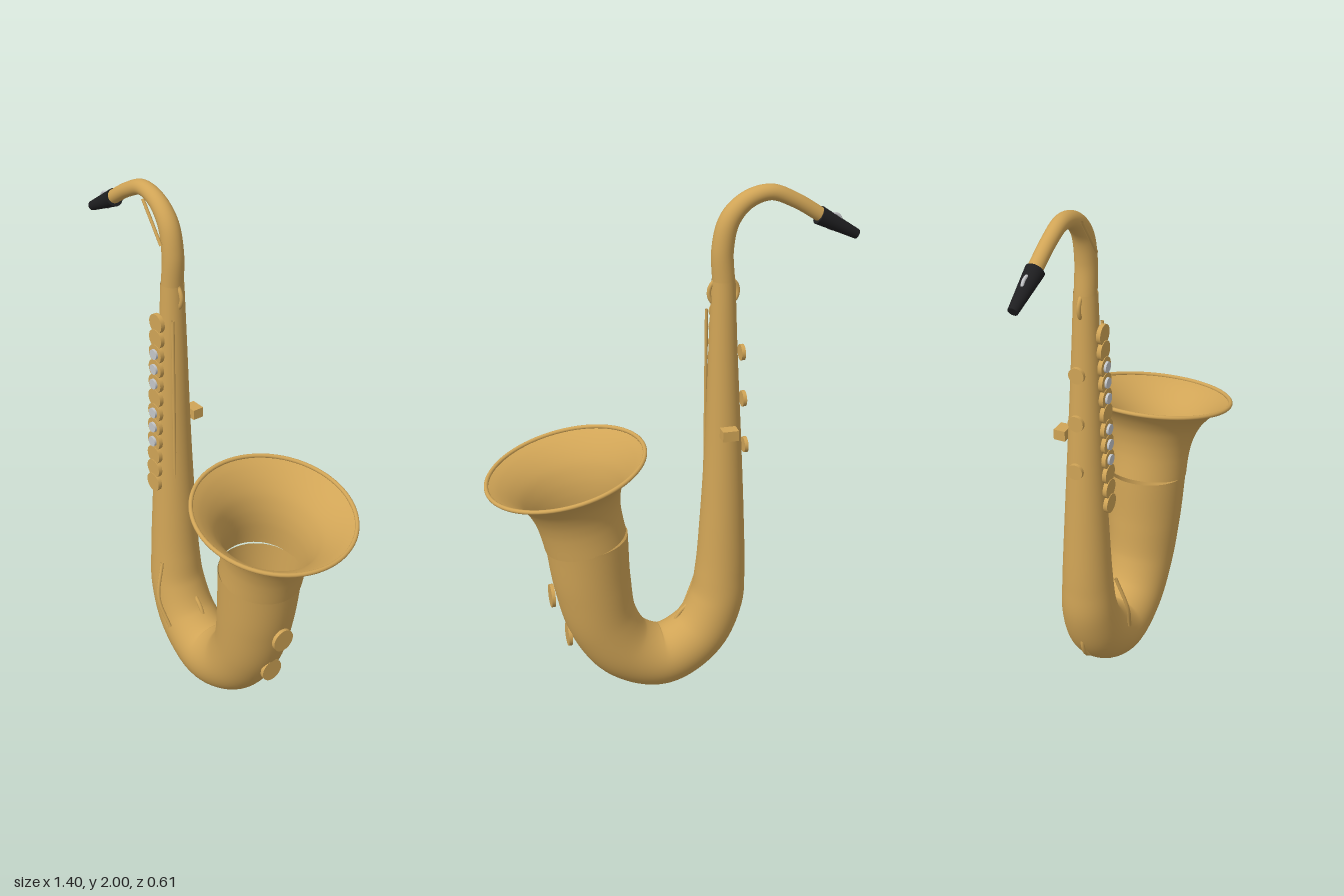
import * as THREE from 'three';

export function createModel() {
  const root = new THREE.Group();
  root.name = 'saxophone';

  const mat = (name, color, side = THREE.FrontSide) => {
    const m = new THREE.MeshStandardMaterial({ color, side });
    m.name = name;
    return m;
  };
  const brass = mat('brass', 0xd0a456, THREE.DoubleSide);
  const silver = mat('silver', 0xc4c6c8);
  const ebonite = mat('black ebonite', 0x1e1e20);

  const add = (name, geo, material, x = 0, y = 0, z = 0) => {
    const mesh = new THREE.Mesh(geo, material);
    mesh.name = name;
    mesh.position.set(x, y, z);
    root.add(mesh);
    return mesh;
  };

  // Tapered tube along a path in the xy plane; each point is [x, y, radius]
  const taperedTube = (points, steps, sides = 48) => {
    const curve = new THREE.CatmullRomCurve3(points.map(p => new THREE.Vector3(...p)));
    const pos = [], idx = [];
    for (let i = 0; i <= steps; i++) {
      const c = curve.getPointAt(i / steps);
      const t = curve.getTangentAt(i / steps).setZ(0).normalize();
      for (let j = 0; j < sides; j++) {
        const a = (j / sides) * Math.PI * 2, k = c.z * Math.cos(a);
        pos.push(c.x - t.y * k, c.y + t.x * k, c.z * Math.sin(a));
        if (i === steps) continue;
        const j2 = (j + 1) % sides, p = i * sides, q = p + sides;
        idx.push(p + j, p + j2, q + j, p + j2, q + j2, q + j);
      }
    }
    const g = new THREE.BufferGeometry();
    g.setAttribute('position', new THREE.Float32BufferAttribute(pos, 3));
    g.setIndex(idx);
    g.computeVertexNormals();
    return g;
  };

  // Thin rod through a few points
  const rod = (name, points, radius) => add(name, new THREE.TubeGeometry(
    new THREE.CatmullRomCurve3(points.map(p => new THREE.Vector3(...p))), 20, radius, 10), brass);

  // Conical body and bow
  add('body', taperedTube([
    [-0.192, 1.665, 0.043], [-0.194, 1.4, 0.053], [-0.2, 1.0, 0.07], [-0.2, 0.7, 0.085],
    [-0.195, 0.48, 0.097], [-0.18, 0.35, 0.106], [-0.105, 0.205, 0.115], [0.04, 0.127, 0.123],
    [0.185, 0.185, 0.128], [0.273, 0.32, 0.135], [0.312, 0.5, 0.147], [0.331, 0.695, 0.157],
  ], 120), brass);

  // Curved neck
  add('neck', taperedTube([
    [-0.193, 1.65, 0.041], [-0.187, 1.78, 0.04], [-0.212, 1.885, 0.038], [-0.275, 1.95, 0.033],
    [-0.36, 1.972, 0.029], [-0.45, 1.937, 0.027], [-0.56, 1.868, 0.026],
  ], 60, 32), brass);

  // Flared bell with rolled rim
  const bell = new THREE.Group();
  bell.name = 'bell';
  bell.position.set(0.335, 0.69, 0);
  bell.rotation.z = -0.215;
  const flare = new THREE.SplineCurve([
    [0.157, 0], [0.158, 0.06], [0.162, 0.11], [0.173, 0.16], [0.194, 0.21],
    [0.225, 0.252], [0.263, 0.287], [0.3, 0.311],
  ].map(p => new THREE.Vector2(...p)));
  const horn = new THREE.Mesh(new THREE.LatheGeometry(flare.getPoints(40), 64), brass);
  horn.name = 'bellFlare';
  const rim = new THREE.Mesh(new THREE.TorusGeometry(0.299, 0.008, 12, 72), brass);
  rim.name = 'bellRim';
  rim.rotation.x = Math.PI / 2;
  rim.position.y = 0.311;
  bell.add(horn, rim);
  root.add(bell);

  // Mouthpiece, tapering away from the neck
  const mouthpiece = add('mouthpiece', new THREE.CylinderGeometry(0.018, 0.034, 0.17, 32),
    ebonite, -0.616, 1.834);
  mouthpiece.rotation.z = Math.atan2(-0.08, -0.145) - Math.PI / 2;
  add('ligature', new THREE.TorusGeometry(0.028, 0.006, 10, 32), silver, -0.598, 1.848);

  // Front key stack; some keys carry a round touch piece
  const cup = new THREE.CylinderGeometry(0.037, 0.037, 0.016, 28).rotateX(Math.PI / 2);
  const touch = new THREE.CylinderGeometry(0.02, 0.02, 0.01, 24).rotateX(Math.PI / 2);
  const touched = [2, 3, 4, 6, 7, 8];
  for (let i = 0; i < 12; i++) {
    const y = 1.523 - i * 0.061;
    const z = 0.067 + (1.523 - y) * 0.038;
    add('keyCup', cup, brass, -0.197, y, z);
    if (touched.includes(i)) add('keyTouch', touch, silver, -0.197, y, z + 0.012);
  }

  // Side keys, bell keys and low bow key
  const disc = (name, x, y, radius) => add(name,
    new THREE.CylinderGeometry(radius, radius, 0.014, 28).rotateZ(Math.PI / 2), brass, x, y);
  disc('sideKey', -0.266, 1.38, 0.03);
  disc('sideKey', -0.275, 1.195, 0.03);
  disc('sideKey', -0.285, 1.005, 0.03);
  disc('bellKey', 0.47, 0.458, 0.045);
  disc('bellKey', 0.41, 0.275, 0.045);
  disc('bowKey', 0.27, 0.17, 0.045);

  // Ring braces around the neck joint and the bow
  add('neckRing', new THREE.TorusGeometry(0.054, 0.008, 10, 48), brass, -0.192, 1.62);
  add('bowRing', new THREE.TorusGeometry(0.118, 0.008, 10, 64), brass, -0.127, 0.23);

  // Rods and levers
  rod('keyRod', [[-0.141, 1.545, 0.037], [-0.141, 1.2, 0.037], [-0.141, 0.85, 0.037]], 0.006);
  rod('octaveLever', [[-0.3, 1.96, 0.044], [-0.25, 1.893, 0.044], [-0.197, 1.82, 0.044]], 0.006);
  rod('lowKeyGuard', [[-0.152, 0.49, 0.097], [-0.125, 0.35, 0.135], [-0.074, 0.23, 0.12]], 0.007);

  // Thumb hook at the back
  add('thumbHook', new THREE.BoxGeometry(0.06, 0.04, 0.045), brass, -0.195, 1.1, -0.095);

  return root;
}
